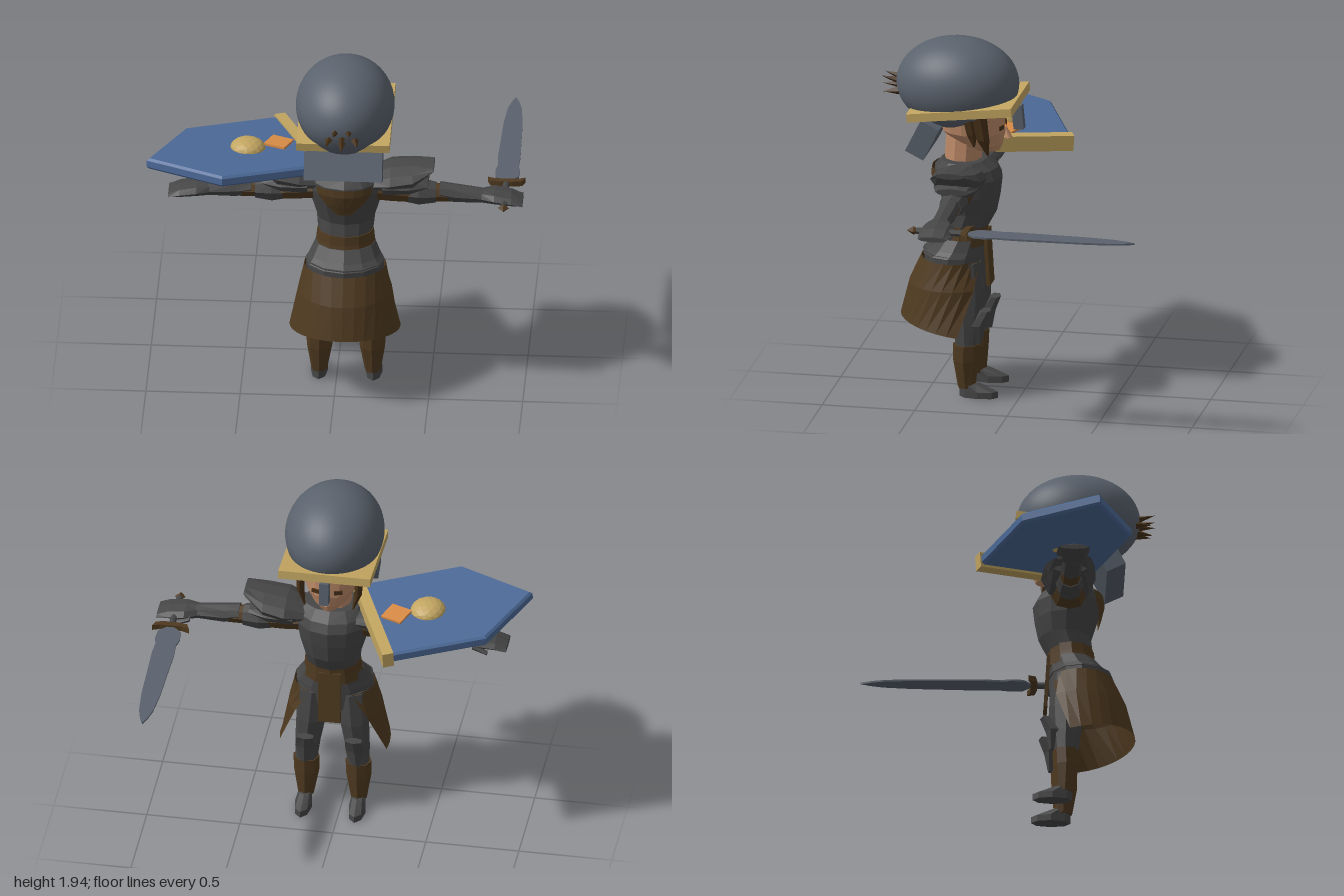
import * as THREE from 'three';

const mat = (name, color, side = THREE.FrontSide) => {
  const m = new THREE.MeshStandardMaterial({ color, side });
  m.name = name;
  return m;
};

// Flat facets baked into the normals
function facet(geo) {
  const g = geo.index ? geo.toNonIndexed() : geo;
  g.computeVertexNormals();
  return g;
}

// Skin over elliptical rings, listed from low to high.
// ring = [y, rx, rz, cz, cx, halfArc]; a halfArc below PI leaves the ring open.
function loft(rings, n = 10) {
  const pos = [], idx = [], open = rings[0][5] !== undefined;
  for (const [y, rx, rz, cz = 0, cx = 0, arc = Math.PI] of rings) {
    for (let j = 0; j <= n; j++) {
      const a = -arc + (2 * arc * j) / n;
      pos.push(cx + rx * Math.sin(a), y, cz + rz * Math.cos(a));
    }
  }
  const w = n + 1, last = (rings.length - 1) * w;
  for (let i = 0; i < rings.length - 1; i++) {
    for (let j = 0; j < n; j++) {
      const p = i * w + j;
      idx.push(p, p + 1, p + w + 1, p, p + w + 1, p + w);
    }
  }
  if (!open) {
    for (let j = 1; j < n - 1; j++) idx.push(0, j + 1, j, last, last + j, last + j + 1);
  }
  const g = new THREE.BufferGeometry();
  g.setAttribute('position', new THREE.Float32BufferAttribute(pos, 3));
  g.setIndex(idx);
  return facet(g);
}

// Limb along +x: ring = [x, y, halfHeight, z, halfDepth]
const limb = (rings, n = 8) =>
  loft(rings.map(([x, y, ry, z, rz]) => [x, ry, rz, z, -y]), n).rotateZ(-Math.PI / 2);

// Horizontal plate from [x, z] corners, centred on y = 0
function plate(points, thick, bevel = 0) {
  const shape = new THREE.Shape(points.map(([x, z]) => new THREE.Vector2(x, -z)));
  const depth = thick - 2 * bevel;
  const g = new THREE.ExtrudeGeometry(shape, {
    depth, bevelEnabled: bevel > 0, bevelThickness: bevel, bevelSize: bevel, bevelOffset: -bevel, bevelSegments: 1,
  });
  return facet(g.translate(0, 0, -depth / 2).rotateX(-Math.PI / 2));
}

function add(parent, name, geo, material, x = 0, y = 0, z = 0, rx = 0, ry = 0, rz = 0) {
  const m = new THREE.Mesh(geo, material);
  m.name = name;
  m.position.set(x, y, z);
  m.rotation.set(rx, ry, rz);
  parent.add(m);
  return m;
}

function addGroup(parent, name, x = 0, y = 0, z = 0) {
  const g = new THREE.Group();
  g.name = name;
  g.position.set(x, y, z);
  parent.add(g);
  return g;
}

export function createModel() {
  const steel = mat('blue steel', 0x5a626d, THREE.DoubleSide);
  const iron = mat('dark iron', 0x464647);
  const leather = mat('brown leather', 0x4f3a20, THREE.DoubleSide);
  const gold = mat('gold', 0xc2a561);
  const blue = mat('shield blue', 0x4c6a98);
  const orange = mat('orange', 0xd98c47);
  const skin = mat('skin', 0xbd8a68);
  const hair = mat('dark brown hair', 0x463018);
  const box = (w, h, d) => new THREE.BoxGeometry(w, h, d);

  const model = new THREE.Group();
  model.name = 'knight';
  const body = addGroup(model, 'body', 0.05);

  // Torso
  add(body, 'breastplate', loft([
    [0.91, 0.145, 0.122, 0.315], [1.0, 0.155, 0.14, 0.285], [1.1, 0.185, 0.165, 0.29],
    [1.19, 0.2, 0.185, 0.3], [1.24, 0.195, 0.17, 0.31], [1.285, 0.16, 0.12, 0.32]], 12), iron);
  add(body, 'backPanel', loft([
    [1.08, 0.19, 0.175, 0.29, 0, 0.2], [1.14, 0.2, 0.188, 0.295, 0, 0.5],
    [1.2, 0.21, 0.197, 0.3, 0, 0.75], [1.24, 0.207, 0.182, 0.31, 0, 0.8]], 6), leather);
  add(body, 'waist', loft([[0.82, 0.165, 0.135, 0.325], [0.88, 0.155, 0.127, 0.318], [0.93, 0.15, 0.125, 0.315]], 12), leather);
  add(body, 'hipPlate', loft([[0.64, 0.14, 0.11, 0.32], [0.72, 0.208, 0.168, 0.37], [0.78, 0.205, 0.17, 0.37]], 12), iron);
  add(body, 'beltPlate', loft([[0.77, 0.212, 0.175, 0.37], [0.8, 0.19, 0.155, 0.35], [0.86, 0.16, 0.13, 0.325]], 12), iron);

  // Skirt open at the front, its hem falling towards the front edges
  const skirt = loft([
    [0.42, 0.295, 0.29, 0.37, 0, 1.8], [0.6, 0.25, 0.235, 0.38, 0, 2.25], [0.745, 0.217, 0.178, 0.37, 0, 2.6]], 18);
  const p = skirt.attributes.position;
  for (let i = 0; i < p.count; i++) if (p.getY(i) < 0.5) p.setY(i, p.getY(i) - (0.66 - p.getZ(i)) * 0.17);
  add(body, 'skirt', facet(skirt), leather);
  add(body, 'frontTabard', box(0.12, 0.3, 0.02), leather, 0, 0.74, 0.19, 0.06);

  // Legs and arms, mirrored
  for (const s of [1, -1]) {
    const side = addGroup(body, s > 0 ? 'leftLimbs' : 'rightLimbs');
    side.scale.x = s;
    add(side, 'thigh', loft([
      [0.25, 0.058, 0.055, 0.28, 0.142], [0.4, 0.068, 0.075, 0.285, 0.132],
      [0.55, 0.08, 0.09, 0.29, 0.115], [0.74, 0.09, 0.1, 0.31, 0.1]], 8), iron);
    add(side, 'kneeCap', loft([
      [0.3, 0.02, 0.015, 0.215, 0.14], [0.4, 0.06, 0.045, 0.225, 0.135], [0.48, 0.05, 0.03, 0.18, 0.13]], 6), iron);
    add(side, 'boot', loft([
      [0.05, 0.042, 0.048, 0.28, 0.142], [0.2, 0.068, 0.068, 0.287, 0.14], [0.29, 0.07, 0.07, 0.285, 0.14]], 8), leather);
    add(side, 'foot', loft([
      [0, 0.045, 0.105, 0.215, 0.145], [0.035, 0.045, 0.105, 0.215, 0.145], [0.075, 0.036, 0.055, 0.27, 0.142]], 8), iron);

    add(side, 'upperArm', limb([
      [0.13, 1.19, 0.08, 0.3, 0.1], [0.25, 1.165, 0.07, 0.3, 0.08], [0.36, 1.15, 0.06, 0.3, 0.065]]), leather);
    add(side, 'elbowGuard', limb([
      [0.32, 1.15, 0.06, 0.3, 0.065], [0.39, 1.15, 0.075, 0.3, 0.075], [0.48, 1.145, 0.055, 0.3, 0.06]]), iron);
    add(side, 'forearm', limb([[0.46, 1.147, 0.05, 0.3, 0.055], [0.59, 1.142, 0.045, 0.3, 0.05]]), leather);
    add(side, 'gauntlet', limb([
      [0.5, 1.16, 0.045, 0.3, 0.055], [0.58, 1.145, 0.05, 0.3, 0.055], [0.74, 1.138, 0.035, 0.305, 0.05]]), iron);
    add(side, 'hand', limb([
      [0.72, 1.138, 0.035, 0.305, 0.05], [0.79, 1.14, 0.035, 0.3, 0.085],
      [0.88, 1.13, 0.03, 0.305, 0.085], [0.94, 1.115, 0.014, 0.305, 0.08]]), iron);
    add(side, 'thumb', limb([[0.76, 1.125, 0.02, 0.24, 0.02], [0.84, 1.095, 0.012, 0.23, 0.015]], 5), iron);
    add(side, 'pauldron', limb([
      [0.14, 1.225, 0.045, 0.3, 0.11], [0.24, 1.245, 0.07, 0.295, 0.145],
      [0.36, 1.265, 0.062, 0.3, 0.135], [0.47, 1.318, 0.016, 0.31, 0.08]], 10), iron);
    add(side, 'shoulderLame', limb([
      [0.2, 1.22, 0.07, 0.3, 0.13], [0.34, 1.215, 0.06, 0.3, 0.12], [0.44, 1.22, 0.02, 0.3, 0.09]], 10), iron);

    // Face details and side locks
    add(side, 'eye', box(0.045, 0.022, 0.008), hair, 0.06, 1.475, 0.109, 0, -0.3);
    add(side, 'sideLock', loft([
      [1.34, 0.005, 0.006, 0.17, 0.13], [1.43, 0.022, 0.035, 0.19, 0.155], [1.58, 0.025, 0.05, 0.22, 0.16]], 5), hair);
    add(side, 'rearLock', loft([
      [1.39, 0.005, 0.006, 0.24, 0.15], [1.46, 0.018, 0.03, 0.25, 0.16], [1.58, 0.025, 0.04, 0.27, 0.165]], 5), hair);
  }

  // Head
  add(body, 'neck', loft([[1.25, 0.1, 0.1, 0.33], [1.42, 0.095, 0.1, 0.32]], 10), skin);
  add(body, 'face', loft([
    [1.335, 0.05, 0.07, 0.2], [1.37, 0.095, 0.125, 0.24], [1.44, 0.14, 0.17, 0.27], [1.55, 0.155, 0.175, 0.28]], 14), skin);
  add(body, 'nose', new THREE.ConeGeometry(0.022, 0.07, 4), skin, 0, 1.44, 0.09, 0.2);

  // Helmet
  const dome = new THREE.SphereGeometry(1, 40, 26, 0, Math.PI * 2, 0, 2.43).rotateX(0.515).scale(0.262, 0.247, 0.328);
  add(body, 'helmetDome', dome, steel, 0, 1.698, 0.357);
  add(body, 'helmetBrim', box(0.495, 0.046, 0.57), gold, 0, 1.588, 0.302, 0.115);
  add(body, 'neckGuard', box(0.415, 0.19, 0.11), steel, 0, 1.424, 0.51, -0.46);
  add(body, 'noseGuard', box(0.05, 0.13, 0.055), steel, 0, 1.525, 0.03, 0.1);

  // Hair tuft at the back
  for (const [x, y, len] of [[-0.07, 1.65, 0.13], [-0.035, 1.7, 0.17], [0, 1.635, 0.15],
    [0.035, 1.7, 0.17], [0.07, 1.65, 0.13], [0, 1.665, 0.17]]) {
    add(body, 'hairTuft', facet(new THREE.ConeGeometry(0.035, len, 4)), hair, x, y, 0.68, 1.57 - (y - 1.66) * 6, 0, -x * 3);
  }

  // Sword held flat, pointing ahead of the figure
  const sword = addGroup(model, 'sword', 0.893, 1.13, 0);
  const edge = [[0.02, 0.13], [0.062, 0.09], [0.066, 0.02], [0.055, -0.03], [0.06, -0.12], [0.055, -0.3],
    [0.05, -0.5], [0.037, -0.65], [0.02, -0.72]];
  add(sword, 'blade', plate([...edge, [0, -0.77], ...edge.map(([x, z]) => [-x, z]).reverse()], 0.01), steel);
  add(sword, 'crossguard', plate([[-0.1, 0.115], [-0.06, 0.13], [0.06, 0.13], [0.1, 0.115],
    [0.085, 0.155], [0.03, 0.165], [-0.03, 0.165], [-0.085, 0.155]], 0.03), leather);
  add(sword, 'grip', facet(new THREE.CylinderGeometry(0.018, 0.018, 0.25, 8)), iron, 0, 0, 0.285, Math.PI / 2);
  add(sword, 'pommel', facet(new THREE.OctahedronGeometry(0.03).scale(1, 0.8, 1.3)), leather, 0, 0, 0.425);

  // Shield lying almost level; corners relative to its pivot
  const shield = addGroup(model, 'shield', -0.5, 1.315, 0.2);
  shield.rotation.set(-0.07, 0, -0.03);
  add(shield, 'shieldBoard', plate([[0.17, -0.38], [-0.32, -0.17], [-0.5, 0.24], [-0.09, 0.42], [0.423, 0.2]], 0.06, 0.012), blue);
  add(shield, 'shieldRim', box(0.65, 0.085, 0.06), gold, 0.3, -0.002, -0.09, 0, -1.16);
  add(shield, 'shieldBoss', facet(new THREE.IcosahedronGeometry(0.095, 2).scale(1, 0.6, 1)), gold, 0.025, 0.024, 0.025);
  add(shield, 'shieldDiamond', box(0.12, 0.03, 0.12), orange, 0.184, 0.027, -0.04, 0, -0.38);

  return model;
}
